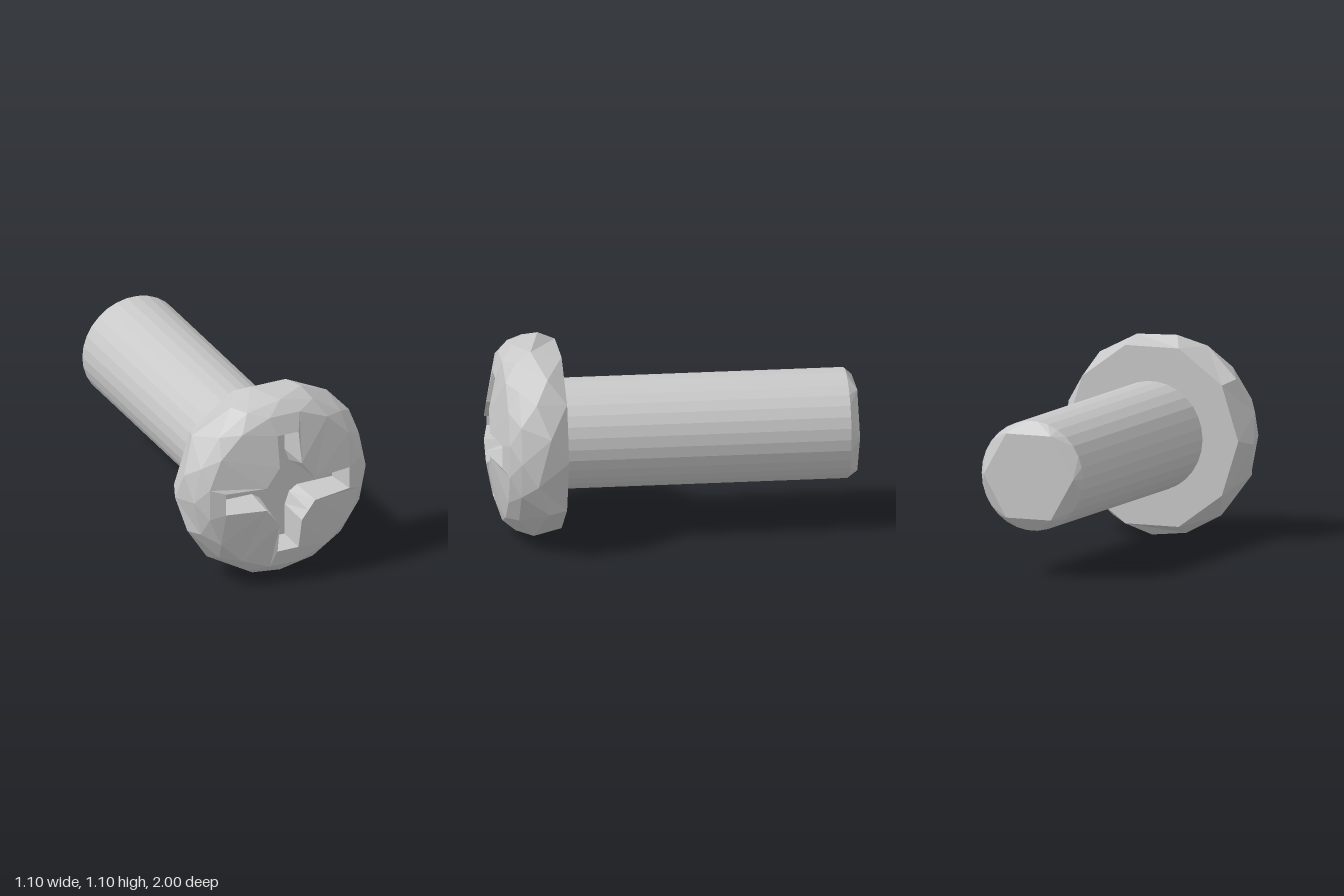
import * as THREE from 'three';

const STEP = Math.PI / 8;
const CY = 0.555; // height of the screw axis

// Skin a series of closed loops with flat triangles, running from back to front.
function loft(rings) {
  const pos = [];
  const tri = (a, b, c) => {
    const area = b.clone().sub(a).cross(c.clone().sub(a)).length();
    if (area > 1e-7) pos.push(...a, ...b, ...c);
  };
  for (let k = 0; k + 1 < rings.length; k++) {
    const a = rings[k], b = rings[k + 1], n = a.length;
    for (let j = 0; j < n; j++) {
      const m = (j + 1) % n;
      tri(a[j], a[m], b[j]);
      tri(a[m], b[m], b[j]);
    }
  }
  const g = new THREE.BufferGeometry();
  g.setAttribute('position', new THREE.Float32BufferAttribute(pos, 3));
  g.computeVertexNormals();
  return g;
}

// Regular loop around the screw axis; snap pulls the points onto fewer corners.
function circle(n, r, z, start = 0, snap = 0) {
  return Array.from({ length: n }, (_, j) => {
    let a = start + (j / n) * Math.PI * 2;
    if (snap) a = Math.round(a / snap) * snap;
    return new THREE.Vector3(0.005 + r * Math.cos(a), CY + r * Math.sin(a), z);
  });
}

// Cross outline: one quadrant of [x, y, z] points mirrored into all four.
function cross(quadrant) {
  const reversed = [...quadrant].reverse();
  return [[1, 1, quadrant], [-1, 1, reversed], [-1, -1, quadrant], [1, -1, reversed]]
    .flatMap(([sx, sy, pts]) => pts.map(([x, y, z]) => new THREE.Vector3(0.007 + sx * x, CY + sy * y, z)));
}

export function createModel() {
  const group = new THREE.Group();
  const steel = new THREE.MeshStandardMaterial({ color: 0xc8c8c8, flatShading: true });
  steel.name = 'steel';
  const add = (name, rings) => {
    const mesh = new THREE.Mesh(loft(rings), steel);
    mesh.name = name;
    group.add(mesh);
  };

  // Widest, slightly irregular outline of the head
  const rim = [
    [0.545, -0.12], [0.545, 0.15], [0.46, 0.32], [0.36, 0.43],
    [0.17, 0.53], [-0.1, 0.55], [-0.25, 0.49], [-0.45, 0.33],
    [-0.53, 0.14], [-0.55, -0.02], [-0.51, -0.2], [-0.36, -0.42],
    [-0.12, -0.54], [0.05, -0.55], [0.31, -0.47], [0.48, -0.3],
  ].map(([x, y], i) => new THREE.Vector3(x, 0.55 + y, i % 2 ? 0.71 : 0.78));

  // Domed head, closed behind and open at the cross recess
  const mouth = [[0.37, 0.063, 0.957], [0.145, 0.067, 0.997], [0.066, 0.173, 0.995], [0.063, 0.35, 0.96]];
  add('head', [
    circle(16, 0, 0.61),
    circle(16, 0.512, 0.61, -STEP, Math.PI / 5),
    rim,
    circle(16, 0.515, 0.865),
    circle(16, 0.46, 0.925, STEP / 2),
    cross(mouth),
  ]);

  // Recess walls and floor
  const wallTop = [mouth[0], mouth[1], [0.1055, 0.12, 0.996], mouth[2], mouth[3]];
  const floorZ = 0.79;
  const floor = [[0.348, 0.061], [0.135, 0.063], [0.088, 0.095], [0.063, 0.165], [0.061, 0.347]]
    .map(([x, y]) => [x, y, floorZ]);
  add('crossRecess', [cross(wallTop), cross(floor), cross(floor.map(() => [0, 0, floorZ]))]);

  // Round shank ending in a chamfer down to a hexagonal tip
  add('shank', [circle(30, 0.3, -0.95), circle(30, 0.3, 0.61)]);
  add('tip', [
    circle(30, 0, -1),
    circle(30, 0.265, -1, 0, Math.PI / 3),
    circle(30, 0.3, -0.95),
  ]);

  return group;
}
